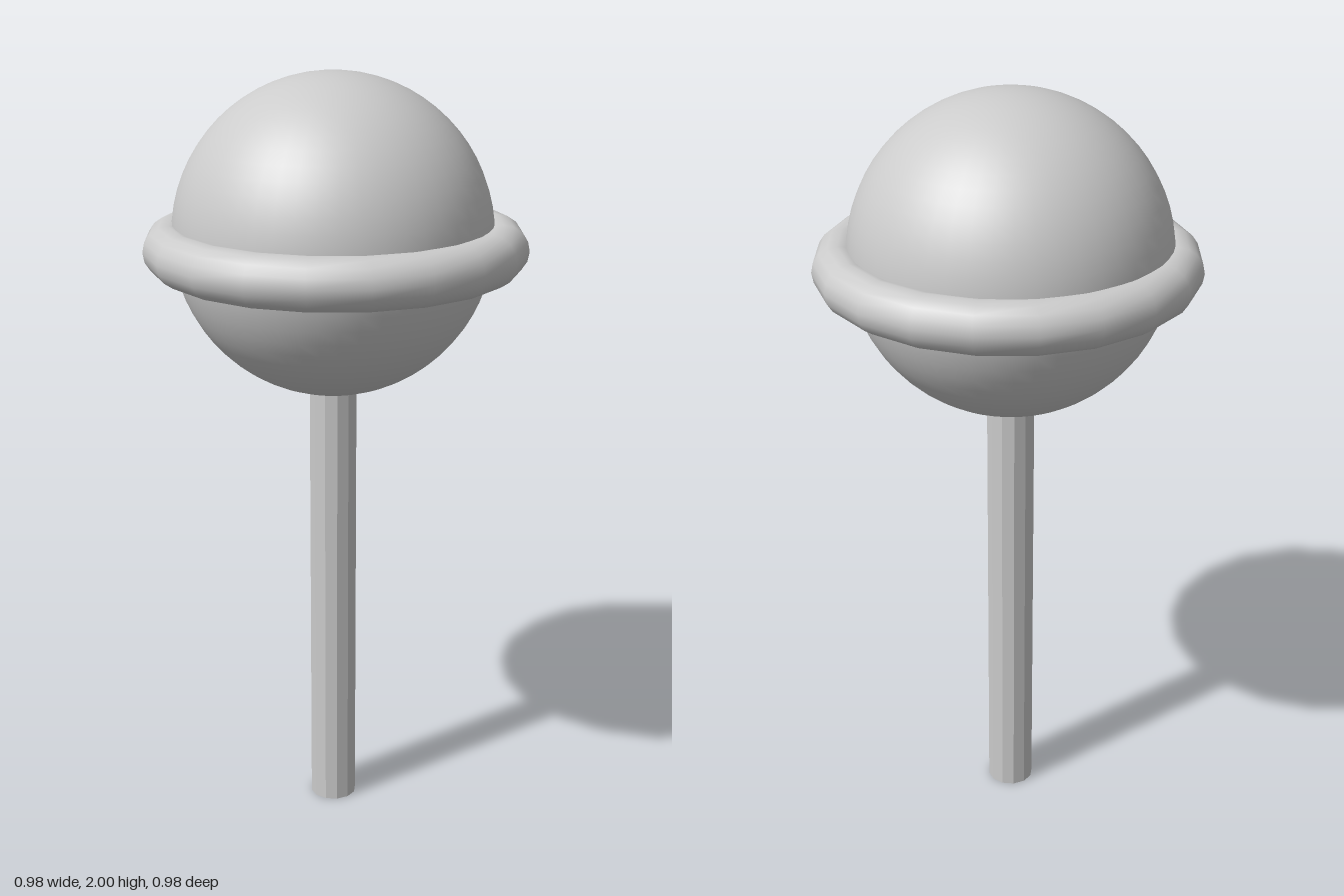
import * as THREE from 'three';

export function createModel() {
  const model = new THREE.Group();
  const smooth = new THREE.MeshStandardMaterial({ color: 0xcccccc });
  const faceted = new THREE.MeshStandardMaterial({ color: 0xcccccc, flatShading: true, side: THREE.DoubleSide });

  const add = (name, geometry, material, x, y, z) => {
    const mesh = new THREE.Mesh(geometry, material);
    mesh.name = name;
    mesh.position.set(x, y, z);
    model.add(mesh);
    return mesh;
  };

  // Candy ball, sitting slightly off the ring's centre
  add('candyBall', new THREE.SphereGeometry(0.409, 48, 32), smooth, -0.006, 1.591, -0.006);

  // Twenty-sided band around the ball
  const ring = new THREE.TorusGeometry(0.424, 0.066, 16, 20).rotateX(Math.PI / 2);
  add('candyRing', ring, smooth, 0, 1.563, 0);

  // Hollow stick, running up into the ball
  const stickHeight = 1.25;
  const stick = new THREE.CylinderGeometry(0.062, 0.062, stickHeight, 12, 1, true);
  add('stick', stick, faceted, -0.006, stickHeight / 2, -0.006);

  return model;
}
